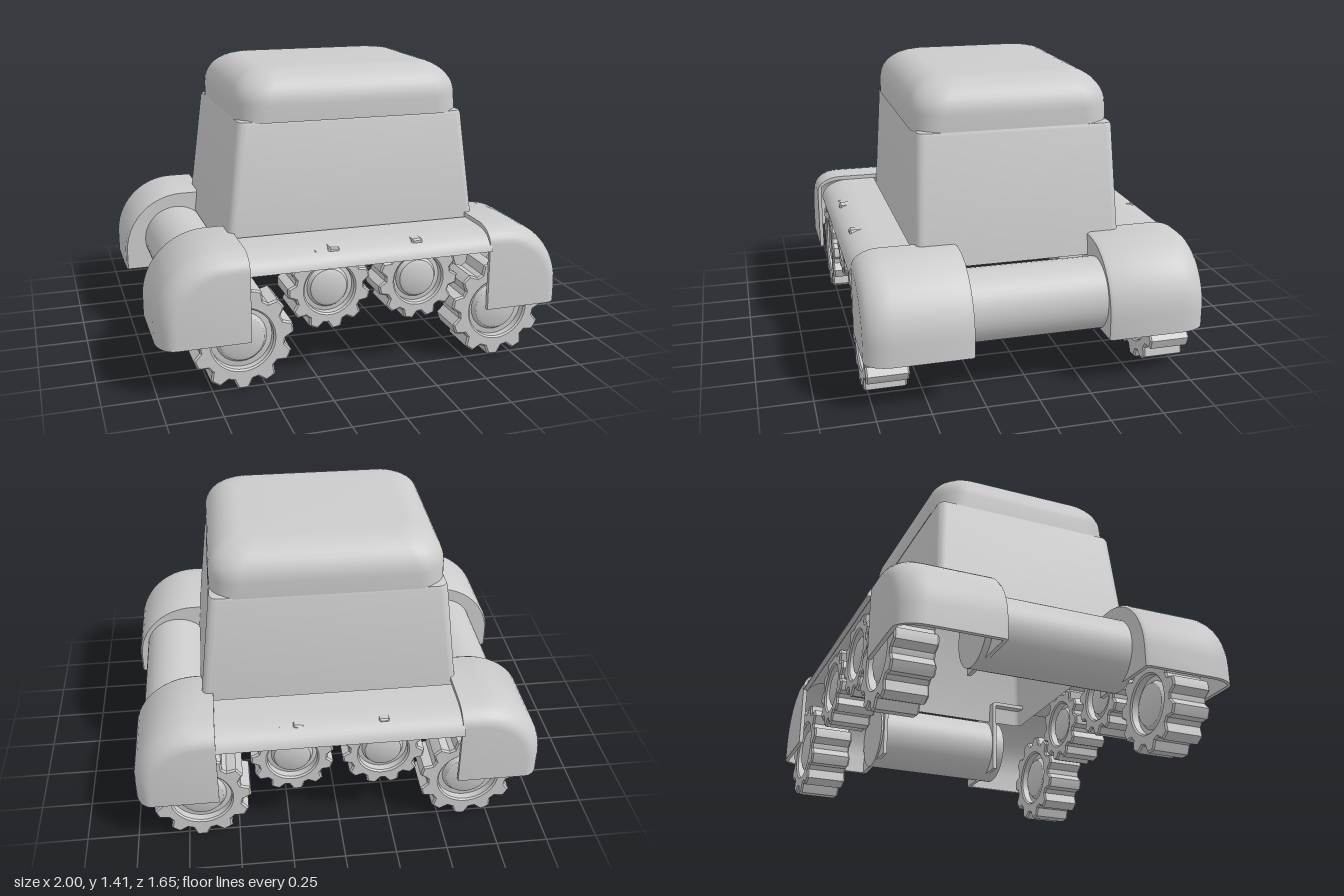
import * as THREE from 'three';
import { toCreasedNormals } from 'three/addons/utils/BufferGeometryUtils.js';

const grey = new THREE.MeshStandardMaterial({ color: 0xcccccc, side: THREE.DoubleSide });

function addMesh(parent, geometry, name) {
  const mesh = new THREE.Mesh(geometry, grey);
  mesh.name = name;
  parent.add(mesh);
  return mesh;
}

// Skin a list of closed rings, all with the same number of points
function loft(rings, flip = false, crease = 0.6) {
  const n = rings[0].length;
  const index = [];
  for (let i = 0; i < rings.length - 1; i++) {
    for (let j = 0; j < n; j++) {
      const k = (j + 1) % n;
      const a = i * n + j, b = i * n + k, c = b + n, d = a + n;
      if (flip) index.push(a, c, b, a, d, c);
      else index.push(a, b, c, a, c, d);
    }
  }
  const geometry = new THREE.BufferGeometry();
  geometry.setAttribute('position', new THREE.Float32BufferAttribute(rings.flat(2), 3));
  geometry.setIndex(index);
  return toCreasedNormals(geometry, crease);
}

// Horizontal rounded rectangle, counter-clockwise from above
function roundedRing(cx, cz, hx, hz, r, y) {
  const ring = [], steps = 8;
  for (let q = 0; q < 4; q++) {
    const sx = q === 0 || q === 3 ? 1 : -1;
    const sz = q < 2 ? -1 : 1;
    for (let i = 0; i <= steps; i++) {
      const a = (q + i / steps) * Math.PI / 2;
      ring.push([cx + sx * (hx - r) + r * Math.cos(a), y, cz + sz * (hz - r) - r * Math.sin(a)]);
    }
  }
  return ring;
}

// Tapered cabin, hollow and open underneath
function cabin() {
  const rows = [
    [0.55, 0.637, 0.5, 0.03], [1.16, 0.564, 0.472, 0.04],
    [1.175, 0.558, 0.466, 0.04], [1.18, 0.545, 0.45, 0.04], [1.18, 0, 0, 0],
  ];
  return loft(rows.map(([y, hx, hz, r]) => roundedRing(0.02, -0.005, hx, hz, r, y)));
}

// Soft-edged roof cap
function roof() {
  const rings = [
    roundedRing(0.02, 0, 0, 0, 0, 1.17),
    roundedRing(0.02, 0, 0.558, 0.475, 0.13, 1.17),
  ];
  for (let i = 0; i <= 10; i++) {
    const a = i / 10 * Math.PI / 2;
    const inset = 0.17 * (1 - Math.cos(a));
    rings.push(roundedRing(0.02, 0, 0.56 - inset, 0.477 - inset, 0.15 - inset * 0.3, 1.25 + 0.16 * Math.sin(a)));
  }
  rings.push(roundedRing(0.02, 0, 0, 0, 0, 1.41));
  return loft(rings);
}

// Thick shell, open below and towards the middle, with a rounded outer end
function fender(sx, sz, xIn, xOut, zIn, zOut) {
  const w = Math.abs(xOut - xIn), d = Math.abs(zOut - zIn);
  const base = 0.25, h = 0.41, r = 0.31;
  const profile = [[0, h]];
  for (let i = 0; i <= 12; i++) {
    const a = i / 12 * Math.PI / 2;
    profile.push([w - r + r * Math.sin(a), h - r + r * Math.cos(a)]);
  }
  profile.push([w, 0]);
  // [scale of the profile, depth]
  const rows = [[0, 0], [0.98, 0], [1, 0.015]];
  for (let i = 0; i <= 8; i++) {
    const a = i / 8 * Math.PI / 2;
    rows.push([1 - 0.2 * (1 - Math.cos(a)), d - 0.13 + 0.13 * Math.sin(a)]);
  }
  rows.push([0, d]);
  const place = (s, z) => ([u, v]) => [xIn + sx * u * s, base + v * s, zIn + sz * z];
  const rings = rows.map(([s, z]) => [
    ...profile.map(place(s, z)),
    ...profile.map(place(s * 0.95, Math.min(Math.max(z, 0.02), d - 0.02))).reverse(),
  ]);
  return loft(rings, sx * sz > 0);
}

// Curved side rail running between two fenders
function rail(sz, offset) {
  const p = (z) => -sz * (z + offset);
  const shape = new THREE.Shape();
  shape.moveTo(p(0.505), 0.64);
  shape.lineTo(p(0.64), 0.64);
  shape.quadraticCurveTo(p(0.78), 0.635, p(0.8), 0.55);
  shape.lineTo(p(0.775), 0.55);
  shape.quadraticCurveTo(p(0.75), 0.615, p(0.64), 0.615);
  shape.lineTo(p(0.505), 0.615);
  shape.closePath();
  const geometry = new THREE.ExtrudeGeometry(shape, { depth: 1.2, bevelEnabled: false, curveSegments: 10 });
  geometry.rotateY(Math.PI / 2).translate(-0.59, 0, 0);
  return toCreasedNormals(geometry, 0.5);
}

// Toothed wheel with a recessed, domed hub on both faces
function wheel(radius, width) {
  const group = new THREE.Group();
  const teeth = 11, steps = teeth * 10;
  const points = [];
  for (let i = 0; i < steps; i++) {
    const a = i / steps * Math.PI * 2;
    const lift = THREE.MathUtils.clamp(0.45 + 1.1 * Math.sin(a * teeth), 0, 1);
    const r = radius * (0.84 + 0.16 * lift) - 0.008;
    points.push(new THREE.Vector2(r * Math.cos(a), r * Math.sin(a)));
  }
  const shape = new THREE.Shape(points);
  const hole = new THREE.Path();
  hole.absarc(0, 0, radius * 0.64, 0, Math.PI * 2, true);
  shape.holes.push(hole);
  const tread = new THREE.ExtrudeGeometry(shape, {
    depth: width - 0.016, bevelThickness: 0.008, bevelSize: 0.008, bevelSegments: 1, curveSegments: 24,
  });
  tread.translate(0, 0, 0.008 - width / 2);
  addMesh(group, toCreasedNormals(tread, 0.6), 'tread');

  const half = [[0, 0.45], [0.36, 0.45], [0.44, 0.41], [0.5, 0.3], [0.66, 0.28]];
  const side = half.map(([r, z]) => new THREE.Vector2(r * radius, z * width));
  const back = side.map((v) => new THREE.Vector2(v.x, -v.y));
  const hub = new THREE.LatheGeometry([...back, ...side.reverse()], 28);
  hub.rotateX(Math.PI / 2);
  addMesh(group, toCreasedNormals(hub, 0.5), 'hub');
  return group;
}

export function createModel() {
  const model = new THREE.Group();
  model.name = 'vehicle';
  addMesh(model, cabin(), 'cabin');
  addMesh(model, roof(), 'roof');

  // Corner fenders
  const fenders = [
    ['frontLeftFender', 1, 1, 0.6, 1, 0.3, 0.79],
    ['backLeftFender', 1, -1, 0.59, 0.99, -0.34, -0.825],
    ['frontRightFender', -1, 1, -0.58, -1, 0.34, 0.825],
    ['backRightFender', -1, -1, -0.58, -1, -0.32, -0.805],
  ];
  for (const [name, ...spec] of fenders) addMesh(model, fender(...spec), name);

  // Rails and cross tubes
  addMesh(model, rail(1, 0), 'frontRail');
  addMesh(model, rail(-1, 0.025), 'backRail');
  for (const [name, x] of [['leftTube', 0.78], ['rightTube', -0.72]]) {
    const tube = addMesh(model, new THREE.CylinderGeometry(0.172, 0.172, 0.74, 40), name);
    tube.rotation.x = Math.PI / 2;
    tube.position.set(x, 0.408, 0);
  }

  // Four wheels on each side: large at the ends, small and raised between
  const wheels = [
    ['frontOuterRightWheel', -0.61, 0.245, 0.675, 0.24], ['frontInnerRightWheel', -0.19, 0.435, 0.65, 0.2],
    ['frontInnerLeftWheel', 0.25, 0.435, 0.65, 0.2], ['frontOuterLeftWheel', 0.66, 0.245, 0.675, 0.24],
    ['backOuterRightWheel', -0.635, 0.245, -0.68, 0.24], ['backInnerRightWheel', -0.21, 0.435, -0.66, 0.2],
    ['backInnerLeftWheel', 0.23, 0.435, -0.66, 0.2], ['backOuterLeftWheel', 0.675, 0.24, -0.68, 0.24],
  ];
  wheels.forEach(([name, x, y, z, radius], i) => {
    const part = wheel(radius, 0.2);
    part.name = name;
    part.position.set(x, y, z);
    part.rotation.z = i * 0.17;
    model.add(part);
  });
  return model;
}
